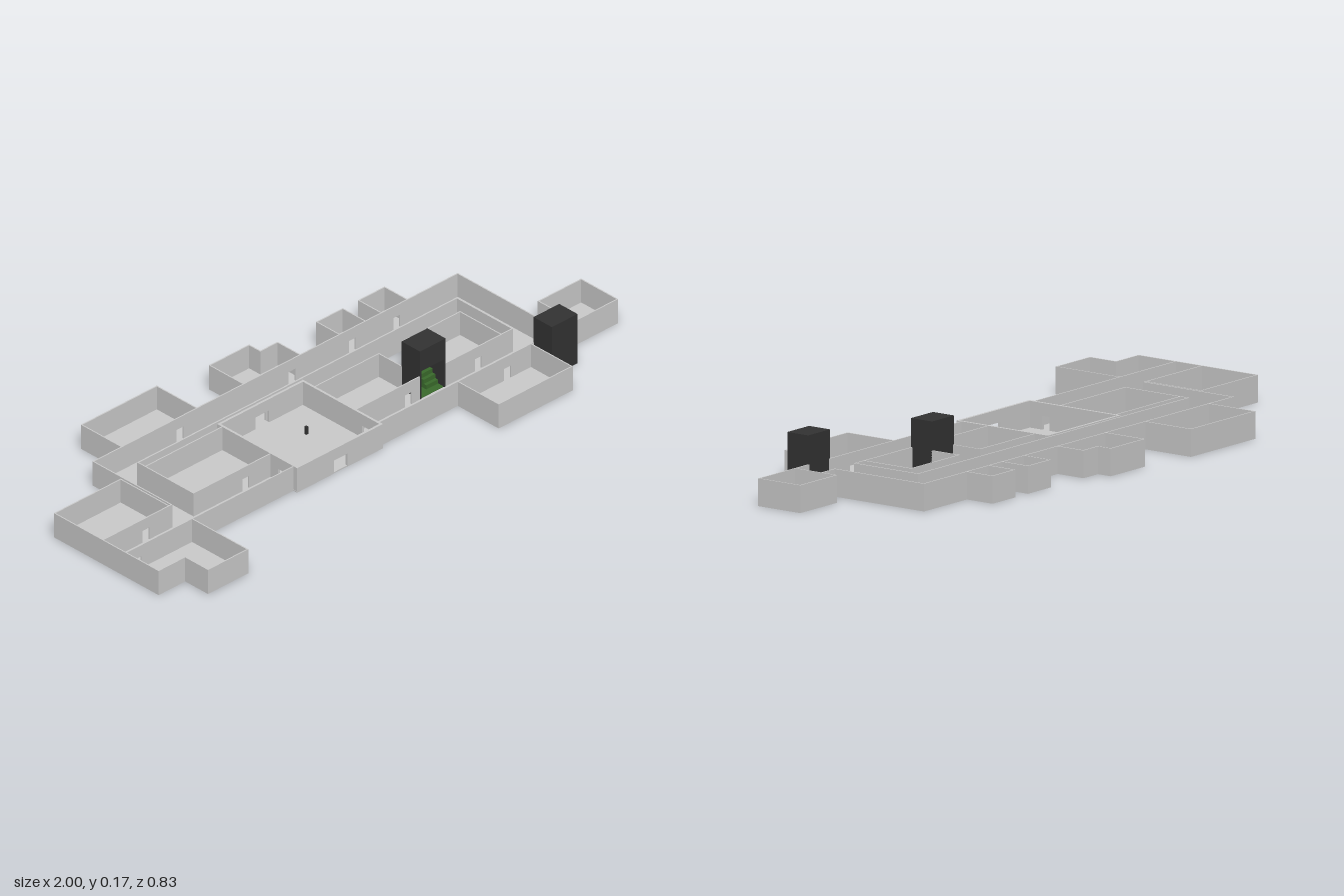
import * as THREE from 'three';

const H = 0.083, T = 0.004, DOOR_H = 0.045;
const grey = new THREE.MeshStandardMaterial({ color: 0xcccccc, flatShading: true });
const dark = new THREE.MeshStandardMaterial({ color: 0x333333, flatShading: true });
const green = new THREE.MeshStandardMaterial({ color: 0x3a6b2c, flatShading: true });

// Axis-aligned wall from (x1,z1) to (x2,z2); doors are positions along the wall
function wall(parent, name, [x1, z1, x2, z2, doors = [], doorW = 0.027], opt = {}) {
  const { h = H, t = T, doorH = DOOR_H, mat = grey } = opt;
  const alongX = z1 === z2;
  const a = (alongX ? x1 : z1) - t / 2, b = (alongX ? x2 : z2) + t / 2;
  const s = new THREE.Shape();
  s.moveTo(a, 0);
  for (const d of doors) {
    s.lineTo(d - doorW / 2, 0);
    s.lineTo(d - doorW / 2, doorH);
    s.lineTo(d + doorW / 2, doorH);
    s.lineTo(d + doorW / 2, 0);
  }
  s.lineTo(b, 0);
  s.lineTo(b, h);
  s.lineTo(a, h);
  s.closePath();
  const g = new THREE.ExtrudeGeometry(s, { depth: t, bevelEnabled: false });
  g.translate(0, 0, -t / 2);
  if (!alongX) g.rotateY(-Math.PI / 2);
  g.translate(alongX ? 0 : x1, 0, alongX ? z1 : 0);
  const m = new THREE.Mesh(g, mat);
  m.name = name;
  parent.add(m);
}

function box(parent, name, [x1, y1, z1, x2, y2, z2], mat = grey) {
  const m = new THREE.Mesh(new THREE.BoxGeometry(x2 - x1, y2 - y1, z2 - z1), mat);
  m.position.set((x1 + x2) / 2, (y1 + y2) / 2, (z1 + z2) / 2);
  m.name = name;
  parent.add(m);
}

// Floor rectangles: x1, z1, x2, z2
const floors = {
  westRoom: [[-1, -0.12, -0.73, 0.083]],
  southWestRoom: [[-1, 0.18, -0.89, 0.317], [-0.89, 0.18, -0.73, 0.413]],
  mainCorridor: [[-1, 0.083, -0.32, 0.18], [0.03, 0.083, 0.825, 0.18]],
  northCorridor: [[-0.72, -0.245, 0.76, -0.15]],
  linkCorridor: [[-0.72, -0.15, -0.63, 0.083], [0.665, -0.15, 0.76, 0.083]],
  northWestRoom: [[-0.605, -0.413, -0.3, -0.245]],
  innerWestRoom: [[-0.63, -0.12, -0.32, 0.083]],
  hall: [[-0.32, -0.14, 0.03, 0.196], [-0.17, -0.15, -0.115, -0.14]],
  innerEastRoom: [[0.03, -0.09, 0.29, 0.083], [0.39, -0.09, 0.62, 0.083]],
  northRoom: [[-0.11, -0.387, 0.05, -0.245], [0.05, -0.34, 0.12, -0.245]],
  smallRoom: [[0.28, -0.34, 0.385, -0.245], [0.45, -0.34, 0.555, -0.245]],
  southEastRoom: [[0.35, 0.18, 0.647, 0.352]],
  eastRoom: [[0.825, 0.028, 1, 0.18]],
};

// Walls: x1, z1, x2, z2, door positions, door width
const walls = {
  westRoom: [[-0.998, -0.12, -0.73, -0.12], [-0.73, -0.12, -0.73, 0.083], [-0.998, -0.12, -0.998, 0.317]],
  southWestRoom: [[-0.998, 0.317, -0.89, 0.317], [-0.89, 0.317, -0.89, 0.413],
    [-0.89, 0.413, -0.73, 0.413], [-0.73, 0.18, -0.73, 0.413]],
  mainCorridor: [
    [-0.998, 0.083, -0.72, 0.083, [-0.825]], [-0.63, 0.083, -0.32, 0.083, [-0.42]],
    [0.03, 0.083, 0.29, 0.083, [0.24]], [0.39, 0.083, 0.665, 0.083, [0.525]],
    [0.76, 0.083, 0.825, 0.083], [-0.998, 0.18, -0.32, 0.18, [-0.95]],
    [0.03, 0.18, 0.66, 0.18, [0.55]], [0.76, 0.18, 0.998, 0.18]],
  northCorridor: [[-0.72, -0.245, 0.76, -0.245, [-0.37, 0.085, 0.33, 0.51]],
    [-0.63, -0.15, 0.665, -0.15, [-0.1425], 0.055]],
  linkCorridor: [[-0.72, -0.245, -0.72, 0.083], [-0.63, -0.15, -0.63, 0.083],
    [0.665, -0.15, 0.665, 0.083], [0.76, -0.245, 0.76, 0.083]],
  northWestRoom: [[-0.605, -0.413, -0.3, -0.413], [-0.605, -0.413, -0.605, -0.245], [-0.3, -0.413, -0.3, -0.245]],
  innerWestRoom: [[-0.63, -0.12, -0.32, -0.12]],
  innerEastRoom: [[0.03, -0.09, 0.29, -0.09], [0.29, -0.09, 0.29, 0.008], [0.39, -0.09, 0.39, 0.008],
    [0.39, -0.09, 0.62, -0.09], [0.62, -0.09, 0.62, 0.083]],
  northRoom: [[-0.11, -0.387, 0.05, -0.387], [-0.11, -0.387, -0.11, -0.245], [0.05, -0.387, 0.05, -0.34],
    [0.05, -0.34, 0.12, -0.34], [0.12, -0.34, 0.12, -0.245]],
  smallRoom: [0.28, 0.45].flatMap(x => [[x, -0.34, x + 0.105, -0.34],
    [x, -0.34, x, -0.245], [x + 0.105, -0.34, x + 0.105, -0.245]]),
  southEastRoom: [[0.35, 0.352, 0.647, 0.352], [0.35, 0.18, 0.35, 0.352], [0.647, 0.18, 0.647, 0.352]],
  eastRoom: [[0.825, 0.028, 0.998, 0.028], [0.825, 0.028, 0.825, 0.18, [0.13]], [0.998, 0.028, 0.998, 0.18]],
};

// Taller hall frame with slightly thicker walls and wide doors
const hallWalls = [
  [-0.315, -0.136, 0.026, -0.136, [-0.1425], 0.055], [-0.315, 0.193, 0.026, 0.193, [-0.1425], 0.055],
  [-0.315, -0.136, -0.315, 0.193, [0.13]], [0.026, -0.136, 0.026, 0.193, [0.13]],
];

// Stair tower, open toward the corridor, with green floor and steps
function stairTower(x, z1, z2, openFront) {
  const g = new THREE.Group();
  g.name = 'stairTower';
  const opt = { h: 0.17, doorH: 0.1, mat: dark }, x2 = x + 0.1;
  const [open, shut] = openFront ? [z2, z1] : [z1, z2];
  wall(g, 'towerBack', [x, shut, x2, shut], opt);
  wall(g, 'towerFront', [x, open, x2, open, [x + 0.05], 0.09], opt);
  wall(g, 'towerSide', [x, z1, x, z2], opt);
  wall(g, 'towerSide', [x2, z1, x2, z2], opt);
  box(g, 'towerRoof', [x, 0.166, z1, x2, 0.17, z2], dark);
  box(g, 'towerFloor', [x + 0.002, 0, z1 + 0.002, x2 - 0.002, 0.004, z2 - 0.002], green);
  const dir = openFront ? -1 : 1;
  for (let i = 0; i < 4; i++) {
    const a = open + dir * (0.025 + i * 0.011), b = a + dir * 0.011;
    box(g, 'step', [x + 0.05, 0.004, Math.min(a, b), x2 - 0.003, 0.018 + i * 0.014, Math.max(a, b)], green);
  }
  return g;
}

export function createModel() {
  const model = new THREE.Group();
  model.name = 'floorPlanBuilding';
  for (const name of Object.keys(floors)) {
    const room = new THREE.Group();
    room.name = name;
    for (const [x1, z1, x2, z2] of floors[name]) box(room, name + 'Floor', [x1, 0, z1, x2, T, z2]);
    for (const w of walls[name] ?? []) wall(room, name + 'Wall', w);
    if (name === 'hall') {
      for (const w of hallWalls) wall(room, 'hallWall', w, { t: 0.008, h: H + 0.001 });
      box(room, 'hallPost', [-0.085, T, -0.015, -0.077, 0.03, -0.007], dark);
    }
    model.add(room);
  }
  model.add(stairTower(0.29, 0.01, 0.083, true), stairTower(0.66, 0.182, 0.255, false));
  return model;
}
